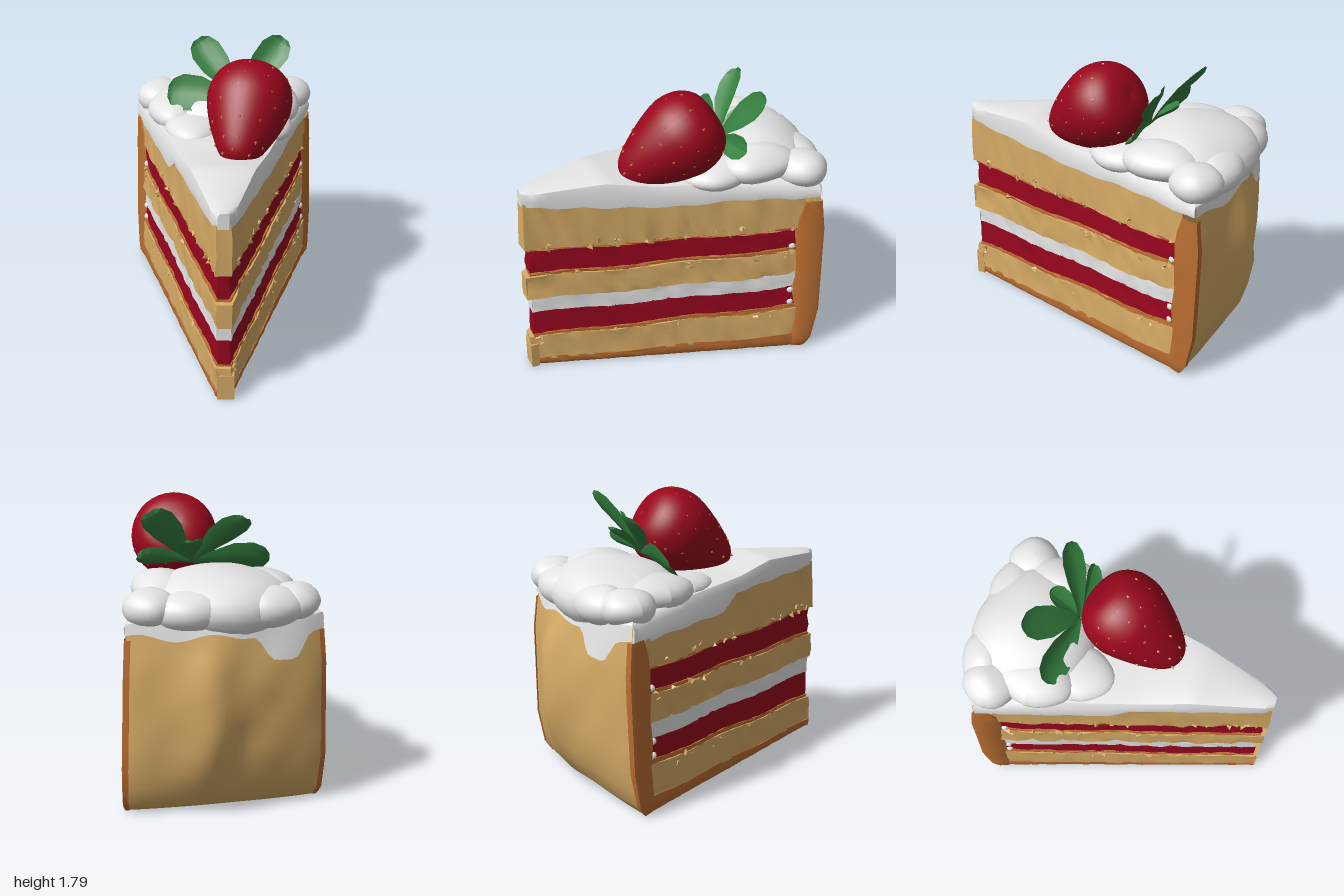
import * as THREE from 'three';
import { toCreasedNormals } from 'three/addons/utils/BufferGeometryUtils.js';

const mat = (name, color) => new THREE.MeshStandardMaterial({ name, color, side: THREE.DoubleSide });
const V = (x, y, z) => new THREE.Vector3(x, y, z);

// seeded random, -1..1
let seed = 7;
const rnd = () => {
  seed = (seed * 16807) % 2147483647;
  return (seed / 2147483647) * 2 - 1;
};

// piecewise-linear lookup in [[key, value], ...] with ascending keys
function table(pts, k) {
  if (k <= pts[0][0]) return pts[0][1];
  for (let i = 1; i < pts.length; i++) {
    const [a, va] = pts[i - 1], [b, vb] = pts[i];
    if (k <= b) return va + ((vb - va) * (k - a)) / (b - a);
  }
  return pts[pts.length - 1][1];
}

// surface through rows of points; closed rows wrap round and get end caps
function surface(rows, closed = false, crease = 0.7) {
  const n = rows[0].length, pos = rows.flat().flatMap((p) => [p.x, p.y, p.z]), idx = [];
  for (let r = 0; r < rows.length - 1; r++)
    for (let i = 0; i < (closed ? n : n - 1); i++) {
      const a = r * n + i, b = r * n + ((i + 1) % n);
      idx.push(a, b, a + n, b, b + n, a + n);
    }
  if (closed)
    for (let i = 1; i < n - 1; i++) {
      const e = (rows.length - 1) * n;
      idx.push(0, i + 1, i, e, e + i, e + i + 1);
    }
  const g = new THREE.BufferGeometry();
  g.setAttribute('position', new THREE.Float32BufferAttribute(pos, 3));
  g.setIndex(idx);
  return toCreasedNormals(g, crease);
}

// wedge plan: half width at depth z, slightly narrower towards the top
const halfWidth = (z, y) => (0.05 + (0.97 - z) * 0.32) * (1.02 - 0.055 * y);
const cornerZ = (y) => table([[0, -0.69], [0.08, -0.74], [0.3, -0.78], [0.9, -0.79], [1.2, -0.76]], y);
const bulge = (y) => table([[0, 0.02], [0.08, 0.05], [0.3, 0.09], [0.6, 0.11], [0.9, 0.1], [1.2, 0.08]], y);
function backPoint(u, y, out = 0) {
  const cz = cornerZ(y), x = u * halfWidth(cz, y), fade = 1 - Math.abs(u) ** 3;
  const lump = 0.085 * Math.exp(-(((x - 0.1) / 0.16) ** 2)) + 0.012 * Math.sin(x * 15 + y * 5) * Math.cos(y * 8);
  const strength = table([[0, 0], [0.4, 0.9], [0.6, 1.15], [0.8, 1.1], [0.95, 0.8], [1.2, 0.25]], y);
  return V(x * (1 + out), y, cz - fade * (bulge(y) + lump * strength) - out);
}

export function createModel() {
  const cake = mat('sponge', 0xd6ab66), crust = mat('crust', 0xba6e32), jam = mat('jam', 0x98061f);
  const cream = mat('cream', 0xe5e5e5), berryRed = mat('berry red', 0x98071c), green = mat('leaf green', 0x35803f);
  const model = new THREE.Group();
  const add = (name, geo, material, parent = model) => {
    const m = new THREE.Mesh(geo, material);
    m.name = name;
    parent.add(m);
    return m;
  };

  // slanted filling and sponge layers: bottom/top height at the tip, then at the back, inset, roughness
  const layers = [
    ['bottomCrust', crust, 0.012, 0.06, 0.012, 0.11, 0.004, 0.003],
    ['bottomSponge', cake, 0.055, 0.23, 0.105, 0.31, 0, 0.008],
    ['lowerBrownLine', crust, 0.225, 0.25, 0.305, 0.34, -0.006, 0.004],
    ['lowerJam', jam, 0.245, 0.425, 0.335, 0.475, -0.014, 0.006],
    ['middleCream', cream, 0.42, 0.53, 0.47, 0.58, -0.008, 0.006],
    ['middleSponge', cake, 0.525, 0.69, 0.575, 0.745, 0, 0.01],
    ['middleBrownLine', crust, 0.685, 0.71, 0.74, 0.768, -0.006, 0.004],
    ['upperJam', jam, 0.705, 0.875, 0.765, 0.9, -0.014, 0.006],
    ['upperBrownLine', crust, 0.87, 0.893, 0.895, 0.915, -0.006, 0.006],
    ['topSponge', cake, 0.885, 1.21, 0.908, 1.15, 0, 0.01],
  ];
  for (const [name, material, t0, t1, b0, b1, inset, rough] of layers) {
    const rows = [], N = 36, tipZ = inset < 0 ? 0.965 : 0.99;
    for (let i = 0; i <= N; i++) {
      const t = i / N, z = tipZ - t * (tipZ + 0.68), wave = 0.008 * Math.sin(t * 14);
      const y0 = t0 + (b0 - t0) * t + (t0 > 0.1 ? wave : 0), y1 = t1 + (b1 - t1) * t + wave;
      const pt = (s, f) => {
        const y = y0 + (y1 - y0) * f;
        const round = name === 'bottomCrust' && f === 0 ? -0.015 : 0;
        return V(s * (halfWidth(z, y) + inset + round + rnd() * rough), y, z + (i ? 0 : rnd() * rough));
      };
      rows.push([...[0, 0.35, 0.7, 1].map((f) => pt(1, f)), ...[1, 0.7, 0.35, 0].map((f) => pt(-1, f))]);
    }
    add(name, surface(rows, true), material);
  }

  // bare sponge where the cut exposes the tip of the base
  add('spongeTip', new THREE.BoxGeometry(0.105, 0.17, 0.05), cake).position.set(0.012, 0.094, 0.972);

  // underside panel
  const under = [0.8, 0.3, -0.3, -0.68].map((z) => [-1, 1].map((s) => V(s * (halfWidth(z, 0) - 0.07), 0.004, z)));
  add('underside', surface(under), cake);

  // bulging baked back
  const us = Array.from({ length: 33 }, (_, i) => i / 16 - 1);
  const backYs = [0.01, 0.04, 0.08, 0.18, 0.3, 0.45, 0.6, 0.75, 0.9, 1.0, 1.1, 1.18];
  const backRows = backYs.map((y) => us.map((u) => backPoint(u, y)));
  backRows.unshift(us.map((u) => V(u * 0.53, 0.01, -0.6)));
  add('backWall', surface(backRows, false, 1), cake);

  // browned strip at each back corner
  for (const s of [1, -1]) {
    const rows = backYs.slice(0, -1).map((y, i) => {
      const zf = -0.625 + 0.01 * Math.sin(y * 17) - (y > 1.05 ? 0.04 : 0), cz = cornerZ(y), r = i ? 0.012 : -0.005;
      return [
        V(s * (halfWidth(zf, y) - 0.03), y, zf),
        V(s * (halfWidth(zf, y) + r), y, zf - 0.015),
        V(s * (halfWidth(cz + 0.02, y) + r), y, cz + 0.02),
        V(s * (halfWidth(cz, y) + r * 0.5), y, cz - 0.008),
        backPoint(s * 0.95, y, 0.006),
      ];
    });
    add(s > 0 ? 'leftCornerCrust' : 'rightCornerCrust', surface(rows, false, 0.9), crust);
  }

  // smooth frosting slab on top, hanging lower on the right side
  const topY = [[-0.78, 1.23], [-0.2, 1.27], [0.2, 1.285], [0.5, 1.33], [0.97, 1.29]];
  const leftHem = [[-0.8, 1.12], [-0.3, 1.145], [0.1, 1.13], [0.5, 1.155], [0.95, 1.19]];
  const rightHem = [[-0.8, 1.08], [0.05, 1.085], [0.16, 1.18], [0.95, 1.19]];
  const slab = [];
  for (let i = 0; i <= 36; i++) {
    const z = 0.985 - i * 0.0485, y = table(topY, z), edge = [1, -1].map((s) => {
      const low = table(s > 0 ? leftHem : rightHem, z) + 0.006 * Math.sin(i * 1.1);
      const w = (halfWidth(z, 1.2) + 0.014) * (i ? 1 : 0.6);
      return [V(s * (w - 0.004), low, z), V(s * w, y - 0.06, z), V(s * w * 0.93, y - 0.014, z), V(s * w * 0.6, y, z)];
    });
    slab.push([...edge[0], ...edge[1].reverse()]);
  }
  add('topFrosting', surface(slab, true, 0.9), cream);

  // frosting running down the back, with one broad drip
  const dripEdge = us.map((u) => 1.12 + 0.02 * Math.sin(u * 9) - 0.18 * Math.exp(-(((u + 0.55) / 0.22) ** 4)));
  const skirt = [0, 0.33, 0.67, 1].map((f) => us.map((u, i) => backPoint(u, dripEdge[i] + (1.2 - dripEdge[i]) * f, 0.009)));
  skirt.push(us.map((u) => V(u * 0.52, 1.24, -0.72)));
  add('backFrosting', surface(skirt, false, 0.9), cream);

  // whipped cream lobes: centre, then radii
  const lobes = [
    [0, 1.24, -0.55, 0.45, 0.21, 0.385], [-0.42, 1.26, -0.7, 0.16, 0.11, 0.17], [0.43, 1.27, -0.71, 0.16, 0.11, 0.16],
    [-0.26, 1.25, -0.77, 0.2, 0.12, 0.16], [0.2, 1.25, -0.77, 0.22, 0.12, 0.15], [0.32, 1.31, -0.46, 0.18, 0.11, 0.25],
    [-0.3, 1.28, -0.45, 0.19, 0.11, 0.25], [0.26, 1.27, -0.22, 0.18, 0.09, 0.24], [-0.19, 1.26, -0.2, 0.18, 0.075, 0.22],
  ];
  const whipped = new THREE.Group();
  whipped.name = 'whippedCream';
  model.add(whipped);
  lobes.forEach(([x, y, z, rx, ry, rz], k) => {
    const g = new THREE.SphereGeometry(1, 24, 16), p = g.attributes.position;
    for (let i = 0; i < p.count; i++) {
      const v = V().fromBufferAttribute(p, i);
      v.multiplyScalar(1 + 0.04 * Math.sin(v.x * 4 + k) * Math.cos(v.z * 4 + k * 2));
      p.setXYZ(i, x + v.x * rx, y + v.y * ry, z + v.z * rz);
    }
    g.computeVertexNormals();
    add('creamLobe', g, cream, whipped);
  });

  // strawberry lying on its side, tip forward and down
  const berry = new THREE.Group();
  berry.name = 'strawberry';
  berry.position.set(0.075, 1.272, 0.345);
  berry.quaternion.setFromUnitVectors(V(0, 1, 0), V(0.19, 0.55, -0.81).normalize());
  model.add(berry);
  const outline = [[0, 0], [0.07, 0.015], [0.13, 0.08], [0.2, 0.22], [0.25, 0.36], [0.265, 0.46], [0.24, 0.57], [0.17, 0.65], [0.07, 0.68], [0, 0.67]];
  const curve = new THREE.SplineCurve(outline.map(([r, y]) => new THREE.Vector2(r, y)));
  const profile = curve.getPoints(28).map((p) => new THREE.Vector2(Math.max(0, p.x), p.y));
  add('berryBody', new THREE.LatheGeometry(profile, 36), berryRed, berry);
  const seedGeo = new THREE.OctahedronGeometry(0.013);
  for (let ring = 0; ring < 7; ring++) {
    const p = curve.getPoint(0.17 + ring * 0.085), n = Math.round(4 + p.x * 32);
    for (let i = 0; i < n; i++) {
      const a = ((i + (ring % 2) / 2 + rnd() * 0.2) / n) * Math.PI * 2;
      const s = add('berrySeed', seedGeo, crust, berry);
      s.position.set(Math.cos(a) * p.x * 0.975, p.y + rnd() * 0.012, Math.sin(a) * p.x * 0.975);
      s.scale.set(0.8, 1.2, 0.8);
    }
  }

  // cupped, blunt leaves fanned out behind the berry: tip, then half width
  const leafBase = V(0.1, 1.42, -0.29), leafNormal = V(0, 0.55, 0.83);
  const leaves = [
    [-0.17, 1.73, -0.54, 0.1], [-0.36, 1.44, -0.36, 0.12], [0.39, 1.77, -0.45, 0.1],
    [0.44, 1.47, -0.3, 0.075], [0.14, 1.6, -0.48, 0.07],
  ];
  for (const [x, y, z, w] of leaves) {
    const along = V(x, y, z).sub(leafBase), side = along.clone().cross(leafNormal).normalize();
    const rows = [[0, 0.15], [0.25, 0.5], [0.55, 0.95], [0.8, 1], [0.94, 0.72], [1, 0.3]].map(([t, f]) =>
      [-1, -0.5, 0, 0.5, 1].map((s) => leafBase.clone().addScaledVector(along, t)
        .addScaledVector(side, s * f * w)
        .addScaledVector(leafNormal, 0.025 * Math.sin(t * Math.PI) - 0.035 * (1 - s * s) * f)));
    add('leaf', surface(rows, false, 0.4), green);
  }

  // loose crumbs on the cut faces and small dabs of cream beside the crust
  const crumbGeo = new THREE.TetrahedronGeometry(0.026);
  for (let i = 0; i < 70; i++) {
    const s = i % 2 ? 1 : -1, z = 0.17 + rnd() * 0.78, f = (0.97 - z) / 1.66;
    const y = [0.9 + 0.02 * f, 0.68 + 0.05 * f, 0.9 + 0.02 * f, 0.2 + 0.08 * f][i >> 1 & 3] + rnd() * 0.025;
    const c = add('crumb', crumbGeo, cake);
    c.position.set(s * (halfWidth(z, y) - 0.006), y, z);
    c.rotation.set(rnd() * 3, rnd() * 3, rnd() * 3);
  }
  const dabGeo = new THREE.IcosahedronGeometry(0.024, 1);
  for (const s of [1, -1]) for (const y of [0.36, 0.45, 0.78]) {
    add('creamDab', dabGeo, cream).position.set(s * (halfWidth(-0.61, y) - 0.018), y, -0.615);
  }
  return model;
}
